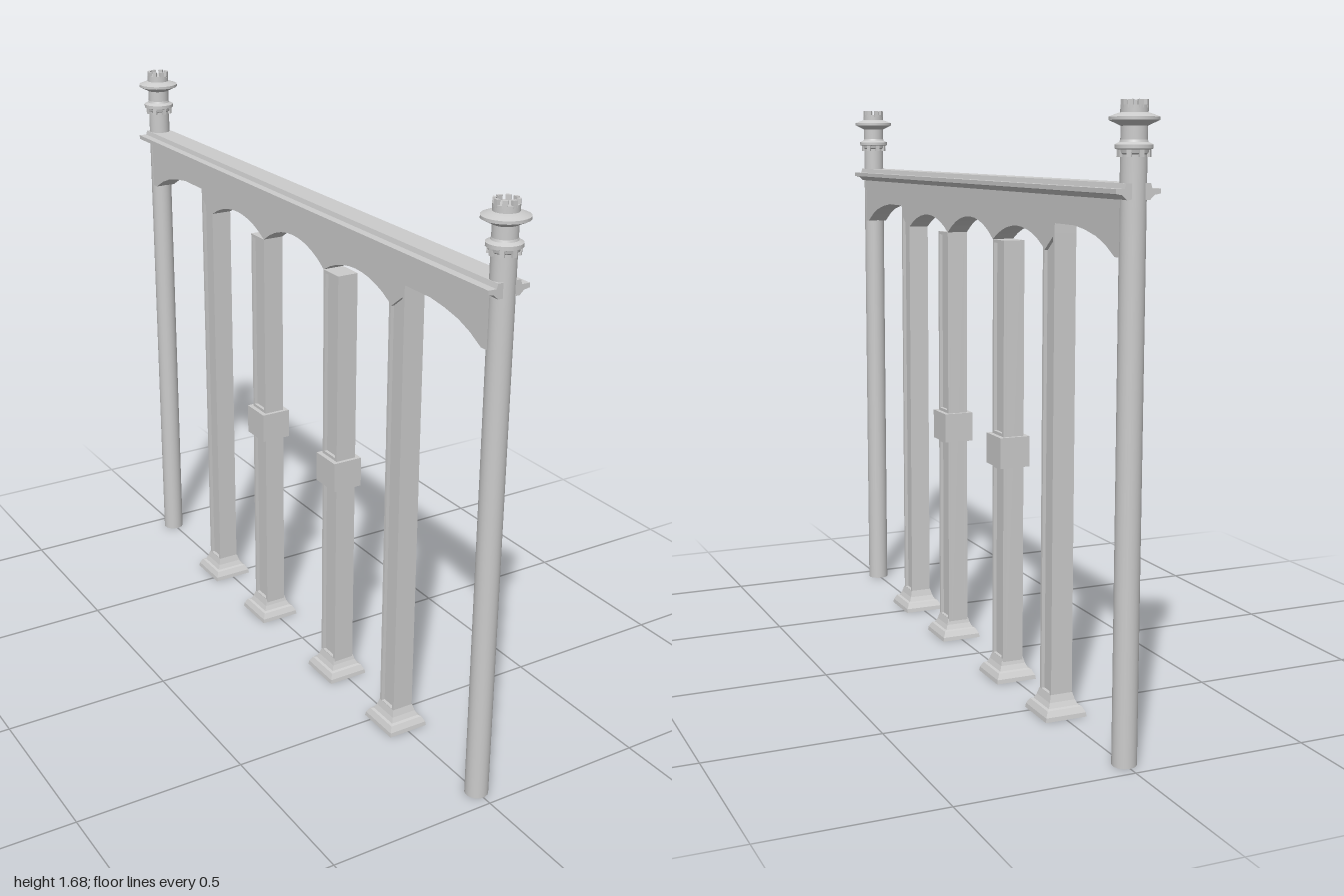
import * as THREE from 'three';

const material = new THREE.MeshStandardMaterial({ color: 0xcccccc, side: THREE.DoubleSide });
const flat = new THREE.MeshStandardMaterial({ color: 0xcccccc, side: THREE.DoubleSide, flatShading: true });

const END_Z = 0.938, COLUMN_R = 0.033, HALF = 0.032; // HALF: half thickness of beam and posts
const SPRING = 1.3; // height where the arches begin

function add(parent, name, geometry, mat = flat) {
  const mesh = new THREE.Mesh(geometry, mat);
  mesh.name = name;
  parent.add(mesh);
  return mesh;
}

const toShape = (pts) => new THREE.Shape(pts.map(([x, y]) => new THREE.Vector2(x, y)));

// Extrudes a side outline (z, y) into a plate spanning x0..x1
function plate(shape, x0, x1) {
  const g = new THREE.ExtrudeGeometry(shape, { depth: x1 - x0, bevelEnabled: false });
  return g.rotateY(-Math.PI / 2).translate(x1, 0, 0);
}

// Points of a segmental arch from z0 to z1 with the given rise
function arch(z0, z1, rise, steps = 10) {
  const c = (z1 - z0) / 2, r = (c * c + rise * rise) / (2 * rise), pts = [];
  for (let i = 0; i <= steps; i++) {
    const d = -c + (2 * c * i) / steps;
    pts.push([(z0 + z1) / 2 + d, SPRING + rise - r + Math.sqrt(r * r - d * d)]);
  }
  return pts;
}

// Arched beam: half outline from the end to the centre, then mirrored
function buildBeam(group) {
  const half = [
    [0.94, 1.46], [0.94, SPRING], [0.907, SPRING], [0.86, 1.326], [0.81, 1.345],
    [0.75, 1.358], [0.69, 1.366], [0.575, 1.366], [0.575, 1.34],
    ...arch(0.172, 0.504, 0.047).reverse(),
    ...arch(-0.172, 0.172, 0.057).reverse().slice(0, 6),
  ];
  const mirrored = half.slice(0, -1).reverse().map(([z, y]) => [-z, y]);
  add(group, 'archedBeam', plate(toShape([...half, ...mirrored]), -HALF, HALF));
}

// Moulded handrail on top of the beam
function buildRail(group) {
  const side = [[0.032, 1.44], [0.045, 1.452], [0.062, 1.455], [0.062, 1.467], [0.038, 1.467], [0.034, 1.48]];
  const pts = [...side, ...side.slice().reverse().map(([x, y]) => [-x, y])];
  const length = 2 * 0.965;
  const g = new THREE.ExtrudeGeometry(toShape(pts), { depth: length, bevelEnabled: false });
  add(group, 'handrail', g.translate(0, 0, -length / 2));
}

// Post with recessed panels on both x faces; topOut and topIn give a slanted head
function buildPost(name, z, halfWidth, topOut, topIn, hasCollar) {
  const post = new THREE.Group();
  post.name = name;
  const w = halfWidth, f = 0.009, recess = 0.01, bottom = 0.025;
  const outline = [[-w, bottom], [w, bottom], [w, topOut], [-w, topIn]];
  add(post, 'postCore', plate(toShape(outline), -HALF + recess, HALF - recess));

  // Framed faces: one long panel, or two split by the collar
  const frame = toShape(outline);
  const spans = hasCollar ? [[0.065, 0.632, 0.632], [0.742, topOut - f, topIn - f]] : [[0.065, topOut - f, topIn - f]];
  for (const [y0, yOut, yIn] of spans) {
    const hole = [[-w + f, y0], [-w + f, yIn], [w - f, yOut], [w - f, y0]];
    frame.holes.push(new THREE.Path(hole.map(([a, b]) => new THREE.Vector2(a, b))));
  }
  add(post, 'panelFrame', plate(frame, HALF - recess, HALF));
  add(post, 'panelFrame', plate(frame, -HALF, -HALF + recess));

  if (hasCollar) {
    add(post, 'collar', new THREE.BoxGeometry(0.092, 0.09, 0.1).translate(0, 0.688, 0));
  }

  // Square stepped foot, open underneath
  const profile = [[0.068, 0], [0.066, 0.012], [0.057, 0.028], [0.049, 0.031], [0.042, 0.045], [0.036, 0.065]];
  const foot = new THREE.LatheGeometry(profile.map(([r, y]) => new THREE.Vector2(r * Math.SQRT2, y)), 4);
  foot.rotateY(Math.PI / 4).scale(0.92, 1, 1);
  add(post, 'foot', foot);
  post.position.z = z;
  return post;
}

// Round end column with a turned finial
function buildColumn(name) {
  const column = new THREE.Group();
  column.name = name;
  add(column, 'shaft', new THREE.CylinderGeometry(COLUMN_R, COLUMN_R, 1.63, 24).translate(0, 0.815, 0), material);

  // Each moulding is a separate lathe section so its edges stay sharp
  const profile = [
    [0.033, 1.548], [0.039, 1.552], [0.041, 1.56], [0.047, 1.562], [0.047, 1.572], [0.035, 1.578],
    [0.031, 1.59], [0.031, 1.615], [0.045, 1.622], [0.062, 1.63], [0.062, 1.638],
    [0.044, 1.645], [0.034, 1.648], [0.034, 1.666], [0, 1.666],
  ];
  for (let i = 0; i < profile.length - 1; i++) {
    const pair = [profile[i], profile[i + 1]].map(([r, y]) => new THREE.Vector2(r, y));
    add(column, 'finialMoulding', new THREE.LatheGeometry(pair, 24), material);
  }

  // Small teeth around the crown and below the lower ring
  const teeth = 8;
  for (let i = 0; i < teeth; i++) {
    const a = (i / teeth) * Math.PI * 2;
    const crown = new THREE.BoxGeometry(0.013, 0.02, 0.009).translate(0, 1.669, 0.029);
    add(column, 'crownTooth', crown.rotateY(a));
    const drop = new THREE.BoxGeometry(0.012, 0.02, 0.008).translate(0, 1.552, 0.038);
    add(column, 'ringTooth', drop.rotateY(a));
  }
  return column;
}

export function createModel() {
  const group = new THREE.Group();
  group.name = 'archedRailing';
  buildBeam(group);
  buildRail(group);

  // Mirrored halves: a column, an outer post and an inner post each
  for (const side of [1, -1]) {
    const half = new THREE.Group();
    half.name = side > 0 ? 'frontHalf' : 'backHalf';
    const column = buildColumn('endColumn');
    column.position.z = END_Z;
    half.add(column);
    half.add(buildPost('outerPost', 0.5395, 0.0355, 1.34, SPRING, false));
    half.add(buildPost('innerPost', 0.211, 0.039, SPRING, SPRING, true));
    if (side < 0) half.rotation.y = Math.PI;
    group.add(half);
  }
  return group;
}
